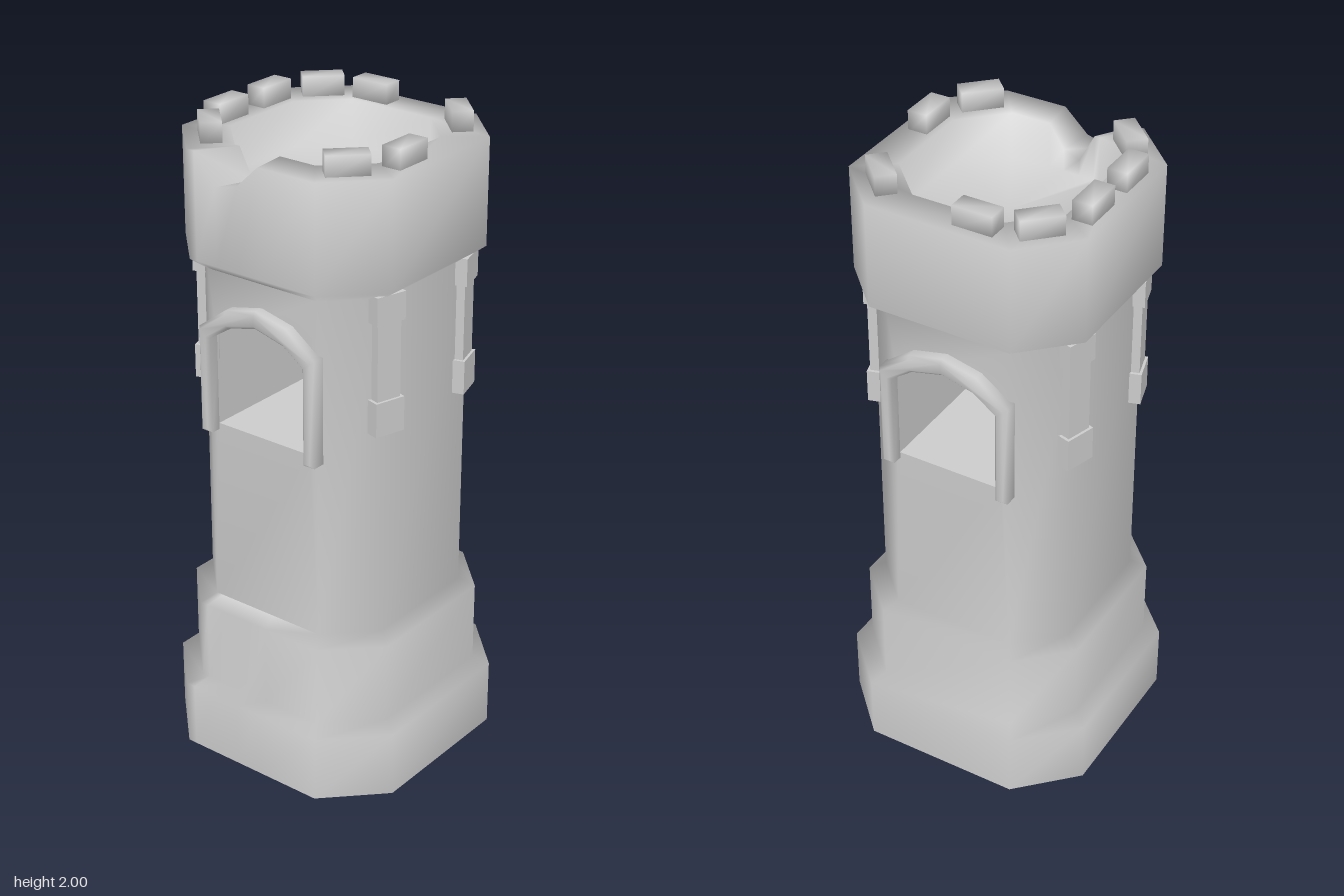
import * as THREE from 'three';
import { mergeVertices, toCreasedNormals } from 'three/addons/utils/BufferGeometryUtils.js';

const stone = new THREE.MeshStandardMaterial({ color: 0xcccccc });
const shell = new THREE.MeshStandardMaterial({ color: 0xcccccc, side: THREE.DoubleSide });
const WALL = 0.33, CORNER = 0.6;

// window opening as (z, y) points, counter-clockwise
const OPENING = [[-0.17, 1.1], [0.17, 1.1], [0.17, 1.38], [0.1, 1.43], [0, 1.455], [-0.1, 1.43], [-0.17, 1.38]];
// battered gap in the parapet on the -x side: [position along the edge, drop]
const GAP = [[0.13, 0], [-0.2, 0.07], [-0.55, 0.09], [-0.88, 0]];

function named(geometry, name, material = stone) {
  const mesh = new THREE.Mesh(geometry, material);
  mesh.name = name;
  return mesh;
}

// shared vertices give soft, worn-looking edges
function smooth(geometry) {
  geometry.deleteAttribute('normal');
  geometry.deleteAttribute('uv');
  const g = mergeVertices(geometry);
  g.computeVertexNormals();
  return g;
}

const fromTriangles = (points) => new THREE.BufferGeometry().setFromPoints(points);
const toShape = (pts) => new THREE.Shape(pts.map(([x, y]) => new THREE.Vector2(x, y)));

// chamfered square ring; the -x edge carries extra points for the gap
function ring(r, y, gap = false, corner = CORNER) {
  const c = r * corner;
  const v = (x, z, drop = 0) => new THREE.Vector3(x, y - drop, z);
  return [
    v(r, -c), v(r, c), v(c, r), v(-c, r), v(-r, c),
    ...GAP.map(([t, d]) => v(-r, c * t, gap ? d : 0)),
    v(-r, -c), v(-c, -r), v(c, -r),
  ];
}

// hollow shell, open underneath, closed by the roof floor
function towerGeometry() {
  // [half width, height, has gap, corner ratio]
  const profile = [
    [0.42, 0], [0.42, 0.21], [0.375, 0.235], [0.375, 0.49], [WALL, 0.515],
    [WALL, 1.58], [0.375, 1.615], [0.375, 1.94, true], [0.265, 1.94, true, 0.54], [0.265, 1.8, false, 0.54], [0, 1.8],
  ];
  const rings = profile.map((p) => ring(...p));
  const out = [];
  const tri = (a, b, c) => {
    if (new THREE.Triangle(a, b, c).getArea() > 1e-8) out.push(a, b, c);
  };
  for (let k = 0; k < rings.length - 1; k++) {
    const a = rings[k], b = rings[k + 1], shaft = k === 4;
    for (let i = 0; i < a.length; i++) {
      const j = (i + 1) % a.length;
      // the two window walls are filled by pierced panels
      if (shaft && Math.abs(a[i].x) === WALL && a[i].x === a[j].x) continue;
      tri(a[j], a[i], b[i]);
      tri(a[j], b[i], b[j]);
    }
  }
  // pierced panels
  const c = WALL * CORNER;
  const wall = toShape([[-c, 0.515], [c, 0.515], [c, 1.58], [-c, 1.58]]);
  wall.holes.push(toShape(OPENING));
  for (const s of [1, -1]) {
    const p = new THREE.ShapeGeometry(wall).translate(0, 0, WALL).rotateY(s * Math.PI / 2).toNonIndexed();
    for (let i = 0; i < p.attributes.position.count; i++) {
      out.push(new THREE.Vector3().fromBufferAttribute(p.attributes.position, i));
    }
  }
  return smooth(fromTriangles(out));
}

// passage running straight through between the two windows
function passageGeometry() {
  const out = [];
  OPENING.forEach(([z, y], i) => {
    const [z2, y2] = OPENING[(i + 1) % OPENING.length];
    const v = (x, yy, zz) => new THREE.Vector3(x, yy, zz);
    const p0 = v(-WALL, y, z), p1 = v(WALL, y, z), q0 = v(-WALL, y2, z2), q1 = v(WALL, y2, z2);
    out.push(p0, q0, q1, p0, q1, p1);
  });
  return toCreasedNormals(fromTriangles(out), 0.7);
}

// arched moulding around a window on the +x wall
function frameGeometry() {
  const arch = toShape([
    [-0.21, 1.08], [-0.17, 1.08], [-0.17, 1.38], [-0.1, 1.43], [0, 1.455], [0.1, 1.43], [0.17, 1.38],
    [0.17, 1.08], [0.21, 1.08], [0.21, 1.41], [0.11, 1.483], [0, 1.508], [-0.11, 1.483], [-0.21, 1.41],
  ]);
  const g = new THREE.ExtrudeGeometry(arch, {
    depth: 0.04, bevelThickness: 0.01, bevelSize: 0.01, bevelOffset: -0.01, bevelSegments: 1,
  });
  return smooth(g.translate(0, 0, 0.32).rotateY(Math.PI / 2));
}

// engaged column: foot, shaft and capital, front faces near z = 0
function column() {
  const g = new THREE.Group();
  g.name = 'column';
  const block = (name, w, y0, y1, front) => {
    const mesh = named(new THREE.BoxGeometry(w, y1 - y0, 0.06), name);
    mesh.position.set(0, (y0 + y1) / 2, front - 0.03);
    g.add(mesh);
  };
  block('columnFoot', 0.098, 1.17, 1.275, 0.022);
  block('columnShaft', 0.08, 1.275, 1.51, 0.014);
  block('columnCapital', 0.098, 1.51, 1.595, 0.022);
  return g;
}

export function createModel() {
  const model = new THREE.Group();
  model.name = 'tower';
  model.add(named(towerGeometry(), 'towerBody', shell), named(passageGeometry(), 'windowPassage', shell));

  const frame = frameGeometry();
  for (const turn of [0, Math.PI]) {
    const mesh = named(frame, 'windowFrame');
    mesh.rotation.y = turn;
    model.add(mesh);
  }

  // columns on the four corners of the front and back walls
  for (const sx of [1, -1]) {
    for (const sz of [1, -1]) {
      const c = column();
      c.position.set(sx * 0.188, 0, sz * 0.33);
      c.rotation.y = Math.atan2(sx * 0.28, sz * 0.96);
      model.add(c);
    }
  }

  // surviving merlons: x, z, turn in degrees
  const merlons = [
    [-0.253, -0.245, 45], [-0.096, -0.32, 0], [0.098, -0.32, 0], [0.259, -0.249, -45],
    [0.313, -0.092, 90], [0.259, 0.245, 45], [-0.096, 0.316, 0], [-0.26, 0.245, -45],
  ];
  const merlon = smooth(new THREE.BoxGeometry(0.124, 0.07, 0.062));
  for (const [x, z, turn] of merlons) {
    const mesh = named(merlon, 'merlon');
    mesh.position.set(x, 1.965, z);
    mesh.rotation.y = THREE.MathUtils.degToRad(turn);
    model.add(mesh);
  }
  return model;
}
